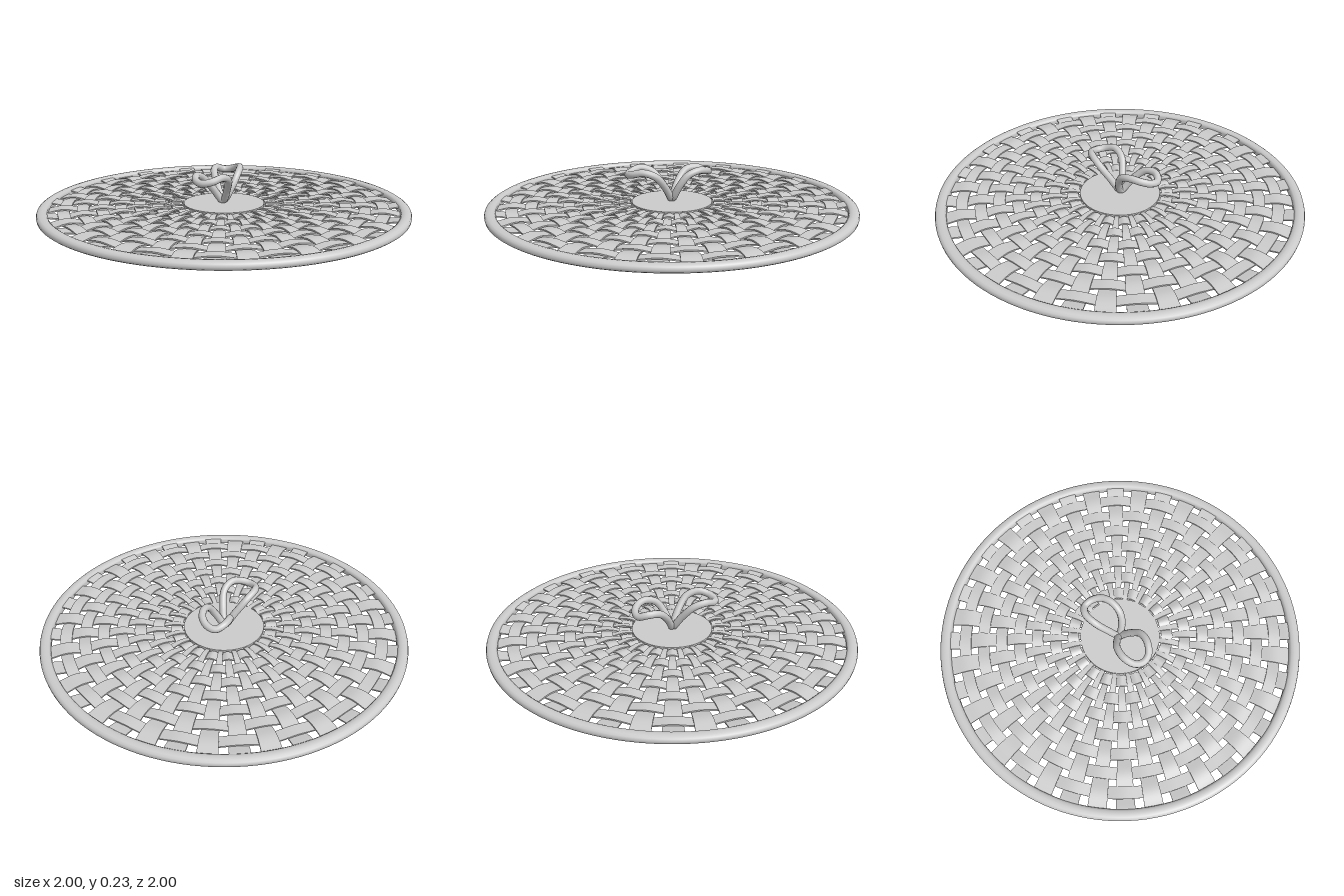
import * as THREE from 'three';

const SPOKES = 40, PITCH = Math.PI * 2 / SPOKES;
const RING0 = 0.26, STEP = 0.1, RINGS = 7;
const MID = 0.02, AMP = 0.007, THICK = 0.007;

const material = new THREE.MeshStandardMaterial({ color: 0xcccccc, side: THREE.DoubleSide });

function addMesh(parent, geometry, name) {
  const mesh = new THREE.Mesh(geometry, material);
  mesh.name = name;
  parent.add(mesh);
  return mesh;
}

// Flat strip bent into place: rule(u, v) gives [angle, radius, height]
function strip(segments, rule) {
  const g = new THREE.BoxGeometry(1, THICK, 1, segments, 1, 1);
  const p = g.attributes.position;
  for (let i = 0; i < p.count; i++) {
    const [a, r, y] = rule(p.getX(i) + 0.5, p.getZ(i));
    p.setXYZ(i, r * Math.sin(a), y + p.getY(i), r * Math.cos(a));
  }
  g.computeVertexNormals();
  return g;
}

function lathe(points) {
  return new THREE.LatheGeometry(points.map(([r, y]) => new THREE.Vector2(r, y)), 128);
}

// Closed drooping loop starting and ending at the knot
function bowLoop(points) {
  const curve = new THREE.CatmullRomCurve3(points.map(p => new THREE.Vector3(...p)), true, 'centripetal');
  return new THREE.TubeGeometry(curve, 72, 0.02, 10, true);
}

export function createModel() {
  const model = new THREE.Group();
  model.name = 'wovenTray';

  // Rounded rim with a flat base
  const rim = lathe([
    [0.94, 0.0], [0.99, 0.0], [0.99, 0.0], [0.998, 0.006], [1.0, 0.018], [0.996, 0.03],
    [0.985, 0.037], [0.968, 0.04], [0.952, 0.037], [0.943, 0.03], [0.94, 0.02], [0.94, 0.0],
  ]);
  addMesh(model, rim, 'rim');

  // Woven panel: rings and spokes pass over and under each other
  const weave = new THREE.Group();
  weave.name = 'weave';
  model.add(weave);

  for (let j = 0; j < RINGS; j++) {
    const sign = j % 2 ? -1 : 1;
    addMesh(weave, strip(SPOKES * 6, (u, v) => {
      const a = u * Math.PI * 2;
      return [a, RING0 + j * STEP + v * 0.063, MID + sign * AMP * Math.cos((a / PITCH - 0.5) * Math.PI)];
    }), 'weaveRing');
  }

  for (let i = 0; i < SPOKES; i++) {
    const sign = i % 2 ? -1 : 1;
    addMesh(weave, strip(48, (u, v) => {
      const r = 0.2 + u * 0.76;
      const wave = Math.cos((r - RING0) / STEP * Math.PI);
      return [(i + 0.5 + v * 0.68) * PITCH, r, MID - sign * AMP * wave];
    }), 'weaveSpoke');
  }

  // Centre plate
  const plate = addMesh(model, new THREE.CylinderGeometry(0.22, 0.22, 0.024, 96), 'centrePlate');
  plate.position.y = 0.02;

  // Bow handle: two arching loops
  const bow = new THREE.Group();
  bow.name = 'bowHandle';
  model.add(bow);
  addMesh(bow, bowLoop([
    [-0.005, 0.045, 0.005], [0.04, 0.12, 0.045], [0.07, 0.185, 0.1], [0.065, 0.208, 0.165],
    [0.035, 0.195, 0.22], [-0.01, 0.185, 0.238], [-0.055, 0.19, 0.22],
    [-0.085, 0.205, 0.165], [-0.082, 0.185, 0.1], [-0.05, 0.12, 0.045],
  ]), 'frontLoop');
  addMesh(bow, bowLoop([
    [-0.005, 0.045, -0.005], [0.035, 0.12, -0.035], [0.045, 0.18, -0.08], [0.032, 0.202, -0.14],
    [0.0, 0.195, -0.19], [-0.05, 0.178, -0.213], [-0.095, 0.172, -0.205],
    [-0.12, 0.188, -0.16], [-0.105, 0.18, -0.095], [-0.06, 0.12, -0.04],
  ]), 'backLoop');

  return model;
}
